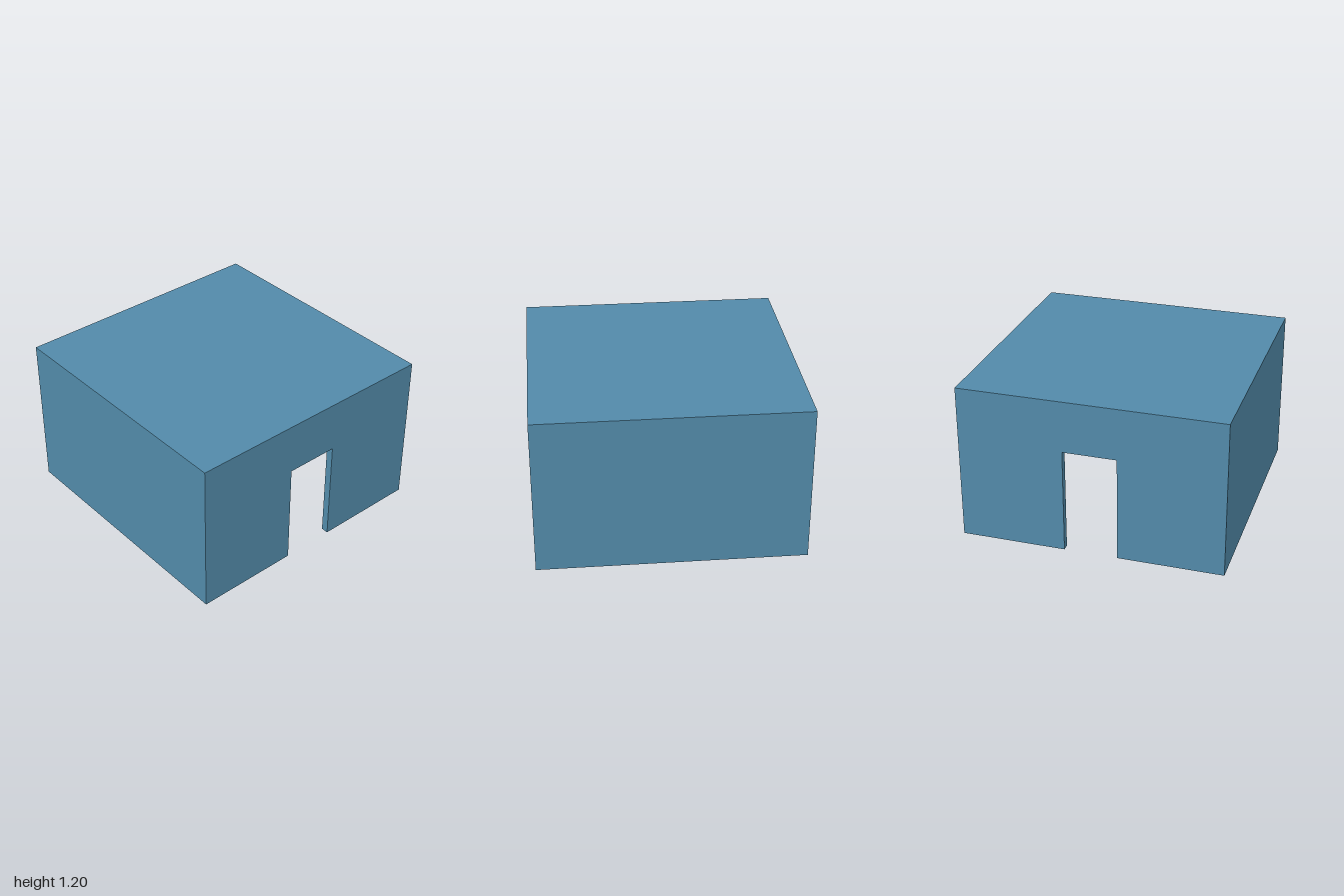
import * as THREE from 'three';

export function createModel() {
  const model = new THREE.Group();
  model.name = 'shelter';
  const blue = new THREE.MeshStandardMaterial({ color: 0x528aa9, side: THREE.DoubleSide });
  blue.name = 'blue';

  const T = 0.055;      // wall and roof thickness
  const DOOR = 0.203;   // half width of the doorways
  const LINTEL = 0.805; // height of the doorways

  function add(name, geometry) {
    const mesh = new THREE.Mesh(geometry, blue);
    mesh.name = name;
    model.add(mesh);
  }

  // Upright wall panel, with a doorway notch if asked
  function panel(half, height, hasDoor) {
    const s = new THREE.Shape();
    s.moveTo(-half, 0);
    if (hasDoor) {
      s.lineTo(-DOOR, 0);
      s.lineTo(-DOOR, LINTEL);
      s.lineTo(DOOR, LINTEL);
      s.lineTo(DOOR, 0);
    }
    s.lineTo(half, 0);
    s.lineTo(half, height);
    s.lineTo(-half, height);
    s.closePath();
    return new THREE.ShapeGeometry(s);
  }

  // Outer and inner skins: four walls and a roof each, open underneath
  for (const skin of ['outer', 'inner']) {
    const inward = skin === 'inner';
    const half = inward ? 1 - T : 1;
    const height = inward ? 1.2 - T : 1.2;
    ['Front', 'Left', 'Back', 'Right'].forEach((side, i) => {
      const g = panel(half, height, i % 2 === 1);
      if (inward) g.rotateY(Math.PI);
      g.translate(0, 0, half).rotateY(i * Math.PI / 2);
      add(skin + side + 'Wall', g);
    });
    const top = new THREE.PlaneGeometry(half * 2, half * 2);
    top.rotateX(inward ? Math.PI / 2 : -Math.PI / 2).translate(0, height, 0);
    add(inward ? 'ceiling' : 'roof', top);
  }

  // Doorway linings joining the two skins
  for (const x of [1 - T / 2, -1 + T / 2]) {
    const side = x > 0 ? 'left' : 'right';
    add(side + 'Lintel', new THREE.PlaneGeometry(T, DOOR * 2).rotateX(Math.PI / 2).translate(x, LINTEL, 0));
    for (const s of [1, -1]) {
      const jamb = new THREE.PlaneGeometry(T, LINTEL);
      if (s > 0) jamb.rotateY(Math.PI);
      add(side + (s > 0 ? 'Front' : 'Back') + 'Jamb', jamb.translate(x, LINTEL / 2, s * DOOR));
    }
  }
  return model;
}
